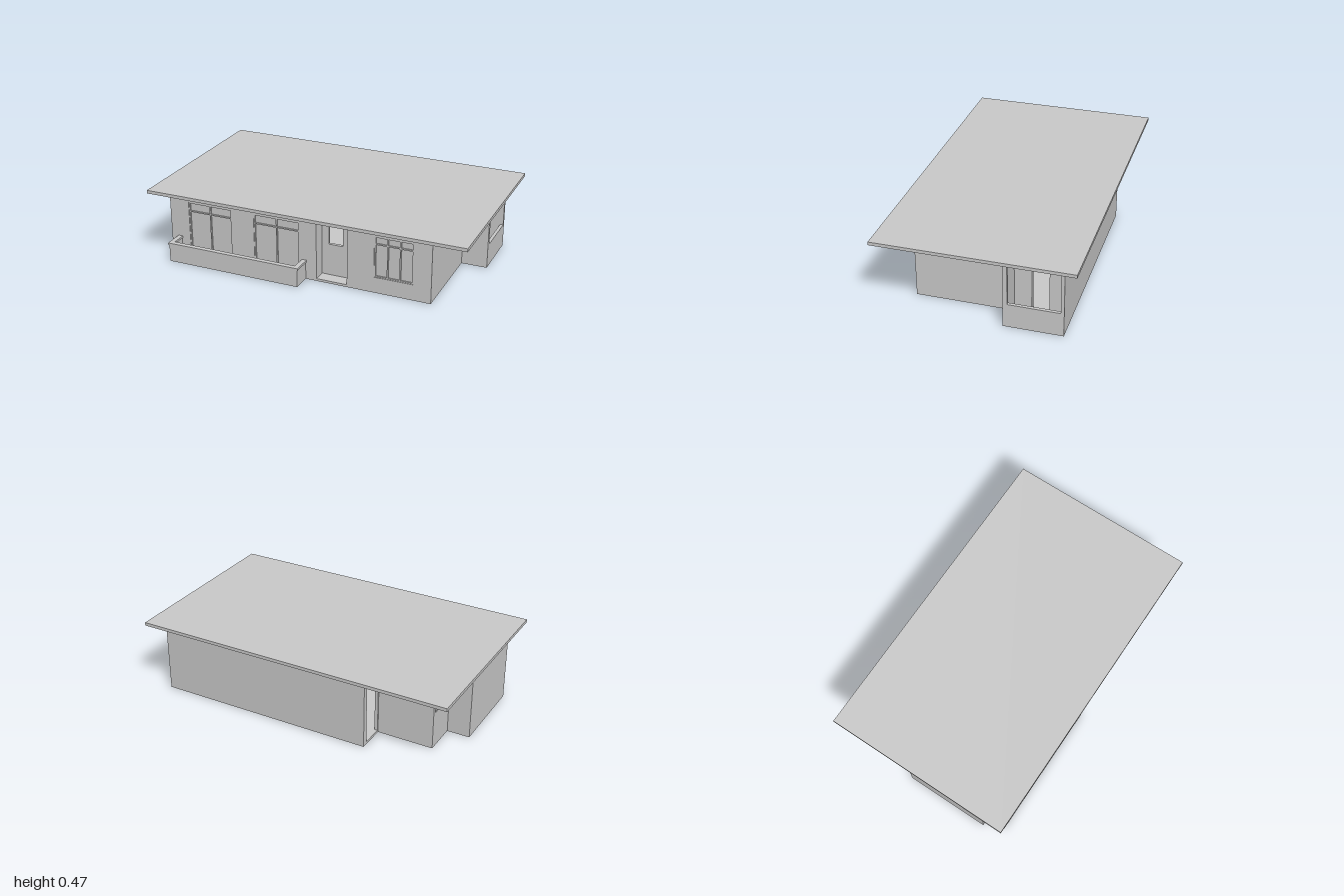
import * as THREE from 'three';

const T = 0.02;        // wall thickness
const FLOOR = 0.015;   // slab height
const EAVE = 0.452;    // underside of roof
const material = new THREE.MeshStandardMaterial({ color: 0xcccccc, flatShading: true });

function box(parent, name, x0, x1, y0, y1, z0, z1) {
  const mesh = new THREE.Mesh(new THREE.BoxGeometry(x1 - x0, y1 - y0, z1 - z0), material);
  mesh.position.set((x0 + x1) / 2, (y0 + y1) / 2, (z0 + z1) / 2);
  mesh.name = name;
  parent.add(mesh);
  return mesh;
}

// Window frame, mullions, transom and pane, in the wall's own plane
function addWindow(wall, { u0, u1, y0, y1, cols, transom }) {
  const w = 0.008, back = -0.016, front = -0.004;
  box(wall, 'windowPane', u0, u1, y0, y1, back, back + 0.004);
  for (let i = 0; i <= cols; i++) {
    const u = u0 + w / 2 + (u1 - u0 - w) * i / cols;
    box(wall, 'windowMullion', u - w / 2, u + w / 2, y0, y1, back, front);
  }
  const rails = [y0 + w / 2, y1 - w / 2];
  if (transom) rails.push(transom);
  for (const y of rails) box(wall, 'windowRail', u0, u1, y - w / 2, y + w / 2, back, front);
}

// Wall from a to b (x, z), outer face on the right of travel, with openings cut through
function addWall(parent, name, a, b, openings = []) {
  const dx = b[0] - a[0], dz = b[1] - a[1], length = Math.hypot(dx, dz);
  const shape = new THREE.Shape([[0, 0], [length, 0], [length, 0.46], [0, 0.46]]
    .map(([x, y]) => new THREE.Vector2(x, y)));
  for (const { u0, u1, y0, y1 } of openings) {
    shape.holes.push(new THREE.Path([[u0, y0], [u0, y1], [u1, y1], [u1, y0]]
      .map(([x, y]) => new THREE.Vector2(x, y))));
  }
  const geometry = new THREE.ExtrudeGeometry(shape, { depth: T, bevelEnabled: false });
  geometry.translate(0, 0, -T);
  const wall = new THREE.Group();
  wall.name = name;
  const panel = new THREE.Mesh(geometry, material);
  panel.name = name + 'Panel';
  wall.add(panel);
  for (const o of openings) if (o.cols) addWindow(wall, o);
  wall.position.set(a[0], 0, a[1]);
  wall.rotation.y = Math.atan2(-dz, dx);
  parent.add(wall);
}

export function createModel() {
  const house = new THREE.Group();
  house.name = 'house';

  // Outline of the walls, counterclockwise seen from above; each corner starts a wall
  const plan = [
    { p: [-0.95, 0.42], name: 'livingFrontWall', openings: [
      { u0: 0.13, u1: 0.425, y0: FLOOR, y1: 0.36, cols: 2, transom: 0.3 },
      { u0: 0.575, u1: 0.875, y0: FLOOR, y1: 0.36, cols: 2, transom: 0.3 }] },
    { p: [0.035, 0.42], name: 'entryRightReveal', recess: true },
    { p: [0.035, 0.34], name: 'entryDoorWall', recess: true, openings: [
      { u0: 0.045, u1: 0.135, y0: 0.215, y1: 0.365 }] },
    { p: [0.23, 0.34], name: 'entryLeftReveal', recess: true },
    { p: [0.23, 0.42], name: 'bedroomFrontWall', recess: true, openings: [
      { u0: 0.17, u1: 0.41, y0: 0.1, y1: 0.36, cols: 3, transom: 0.31 }] },
    { p: [0.75, 0.42], name: 'leftSideWall' },
    { p: [0.75, -0.15], name: 'porchFrontWall' },
    { p: [0.91, -0.15], name: 'porchParapet', openings: [
      { u0: 0.026, u1: 0.33, y0: 0.148, y1: EAVE }] },
    { p: [0.91, -0.5], name: 'backWall' },
    { p: [-0.46, -0.5], name: 'backDoorWall', openings: [
      { u0: 0.033, u1: 0.172, y0: FLOOR, y1: 0.37 }] },
    { p: [-0.46, -0.32], name: 'recessedBackWall' },
    { p: [-0.81, -0.32], name: 'recessedSideWall', openings: [
      { u0: 0.02, u1: 0.1, y0: 0.23, y1: 0.36, cols: 1 }] },
    { p: [-0.81, -0.11], name: 'rightStepWall' },
    { p: [-0.95, -0.11], name: 'rightSideWall' },
  ];
  plan.forEach((side, i) =>
    addWall(house, side.name, side.p, plan[(i + 1) % plan.length].p, side.openings));

  // Inner wall of the porch with its doorway
  addWall(house, 'porchInnerWall', [0.75, -0.15], [0.75, -0.5], [
    { u0: 0.12, u1: 0.224, y0: FLOOR, y1: 0.36 }]);
  box(house, 'porchDoorJamb', 0.725, 0.755, FLOOR, 0.36, -0.274, -0.265);

  // Floor slab follows the outline but runs straight across the entry
  const slabShape = new THREE.Shape(plan.filter(s => !s.recess)
    .map(({ p }) => new THREE.Vector2(p[0], -p[1])));
  const slab = new THREE.Mesh(
    new THREE.ExtrudeGeometry(slabShape, { depth: FLOOR, bevelEnabled: false }), material);
  slab.rotation.x = -Math.PI / 2;
  slab.name = 'floorSlab';
  house.add(slab);

  // Flat overhanging roof
  box(house, 'roof', -1, 1, EAVE, 0.472, -0.587, 0.587);

  // Front terrace with a capped parapet
  const terrace = new THREE.Group();
  terrace.name = 'terrace';
  box(terrace, 'terraceFloor', -0.9, -0.035, 0, FLOOR, 0.42, 0.538);
  box(terrace, 'parapetFront', -0.9, -0.035, 0, 0.11, 0.518, 0.538);
  box(terrace, 'parapetCapFront', -0.905, -0.03, 0.11, 0.123, 0.513, 0.543);
  for (const [x0, x1] of [[-0.9, -0.88], [-0.055, -0.035]]) {
    box(terrace, 'parapetEnd', x0, x1, 0, 0.11, 0.42, 0.518);
    box(terrace, 'parapetCapEnd', x0 - 0.005, x1 + 0.005, 0.11, 0.123, 0.42, 0.513);
  }
  house.add(terrace);

  return house;
}
